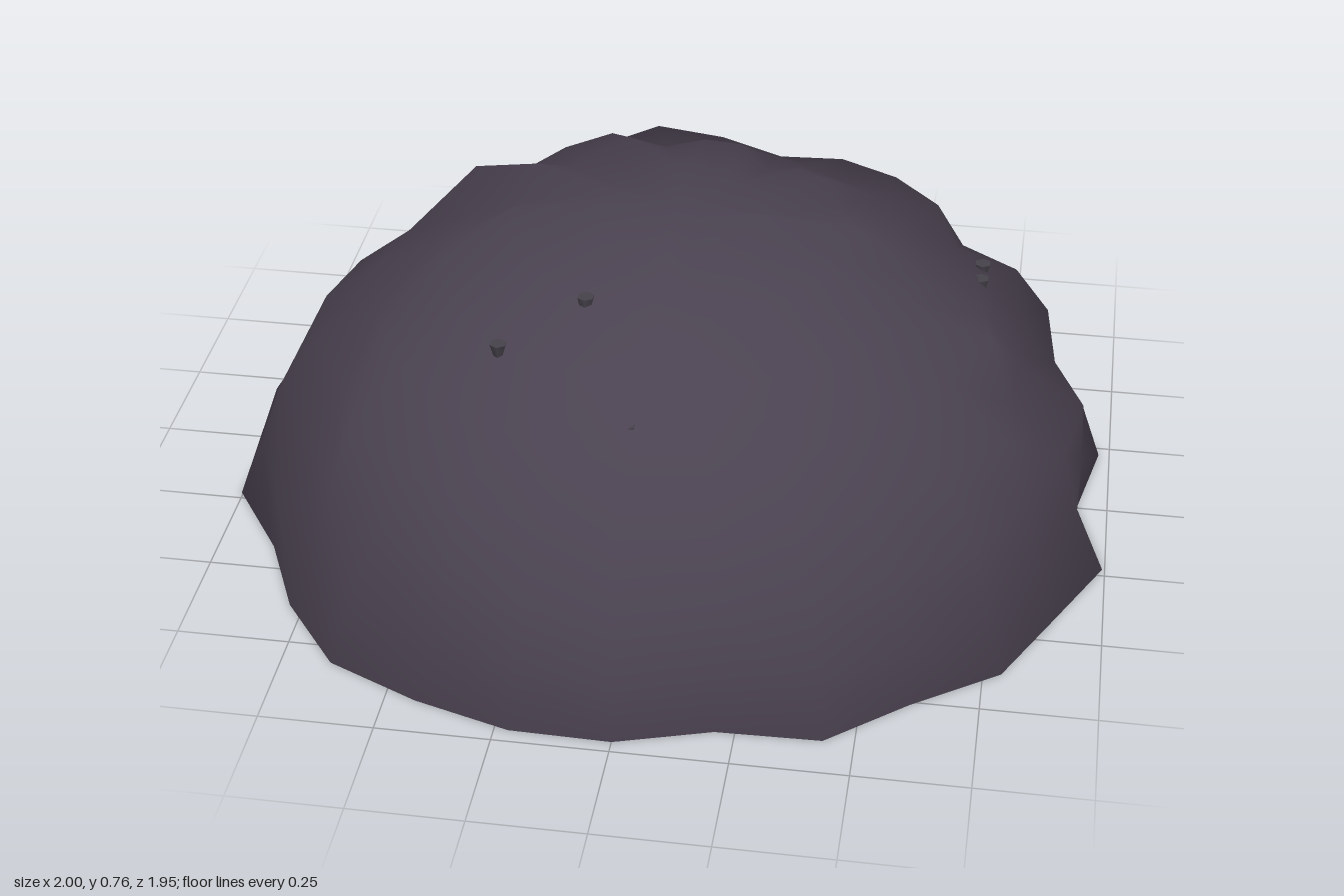
import * as THREE from 'three';

const COLS = 28, ROWS = 8, HEIGHT = 0.75;

// Outline radius of the open rim, from -x round through +z
const RIM = [0.99, 1.03, 0.97, 1.0, 1.03, 1.0, 0.99, 0.97, 0.93, 1.0, 0.97, 1.01, 0.99, 1.02,
  0.93, 1.0, 0.98, 0.93, 1.0, 0.97, 0.92, 0.98, 0.94, 0.96, 1.0, 0.95, 1.01, 0.97];

// Bulges and hollows above the rim: level -> { column: radius factor }
const BUMPS = {
  1: { 0: 0.99, 7: 0.99, 14: 0.95, 21: 1.0 },
  2: { 0: 0.94, 7: 1.03, 14: 1.0, 20: 0.92, 21: 0.9, 23: 1.02, 27: 0.96 },
  3: { 0: 1.0, 1: 0.99, 7: 1.04, 11: 1.0, 12: 1.02, 14: 0.93, 15: 0.94, 19: 0.93, 20: 0.96, 21: 0.99, 25: 0.99, 27: 0.98 },
  4: { 0: 0.985, 7: 1.01, 13: 1.03, 15: 0.955, 16: 0.95, 18: 1.0, 22: 1.02 },
  5: { 4: 0.95, 6: 1.01, 7: 0.93, 14: 0.955, 15: 0.95, 23: 1.0, 26: 1.04 },
  6: { 4: 0.95, 5: 0.94, 7: 1.01, 14: 1.02, 23: 1.01, 26: 1.03 },
  7: { 5: 0.96, 7: 1.03, 13: 1.02, 21: 1.0 },
};

function makeRandom(seed) {
  return () => {
    seed = (seed * 16807) % 2147483647;
    return seed / 2147483647;
  };
}

// Half sphere pushed in and out vertex by vertex; it keeps its smooth normals
function caveShell() {
  const geometry = new THREE.SphereGeometry(1, COLS, ROWS, 0, Math.PI * 2, 0, Math.PI / 2);
  const random = makeRandom(4711);
  const pos = geometry.attributes.position;
  for (let row = 0; row <= ROWS; row++) {
    const level = ROWS - row, first = row * (COLS + 1);
    for (let col = 0; col < COLS; col++) {
      const i = first + col;
      let f = 0.94 + 0.06 * random();
      if (level === 0) f = RIM[col];
      else if (level === ROWS) f = 0.98;
      else f = BUMPS[level][col] ?? (level === 1 ? Math.min(f, RIM[col]) : f);
      pos.setXYZ(i, pos.getX(i) * f, Math.max(0, pos.getY(i) * HEIGHT * f), pos.getZ(i) * f);
    }
    // Close the seam
    pos.setXYZ(first + COLS, pos.getX(first), pos.getY(first), pos.getZ(first));
  }
  return geometry;
}

// Hanging spikes: x, top y, z, length
const SPIKES = [
  [-0.02, 0.56, 0.62, 0.11], [-0.33, 0.61, 0.43, 0.07], [-0.16, 0.67, 0.31, 0.11],
  [-0.13, 0.53, 0.6, 0.12], [-0.41, 0.53, 0.44, 0.08], [-0.24, 0.635, 0.31, 0.1],
  [0.04, 0.63, 0.4, 0.1], [-0.35, 0.64, 0.12, 0.12],
  [0.67, 0.5, -0.17, 0.1], [0.67, 0.495, -0.245, 0.08],
];

export function createModel() {
  const model = new THREE.Group();
  model.name = 'caveDome';

  const rock = new THREE.MeshStandardMaterial({ color: 0x4a4250, side: THREE.DoubleSide });
  rock.name = 'rock';
  const spikeRock = new THREE.MeshStandardMaterial({ color: 0x45424a });
  spikeRock.name = 'spike rock';

  const shell = new THREE.Mesh(caveShell(), rock);
  shell.name = 'rockShell';
  model.add(shell);

  // Spikes point down from the ceiling
  const spikes = new THREE.Group();
  spikes.name = 'stalactites';
  SPIKES.forEach(([x, y, z, length], i) => {
    const cone = new THREE.ConeGeometry(0.019, length, 6);
    cone.rotateX(Math.PI);
    const spike = new THREE.Mesh(cone, spikeRock);
    spike.name = `stalactite${i + 1}`;
    spike.position.set(x, y - length / 2, z);
    spikes.add(spike);
  });
  model.add(spikes);

  return model;
}
